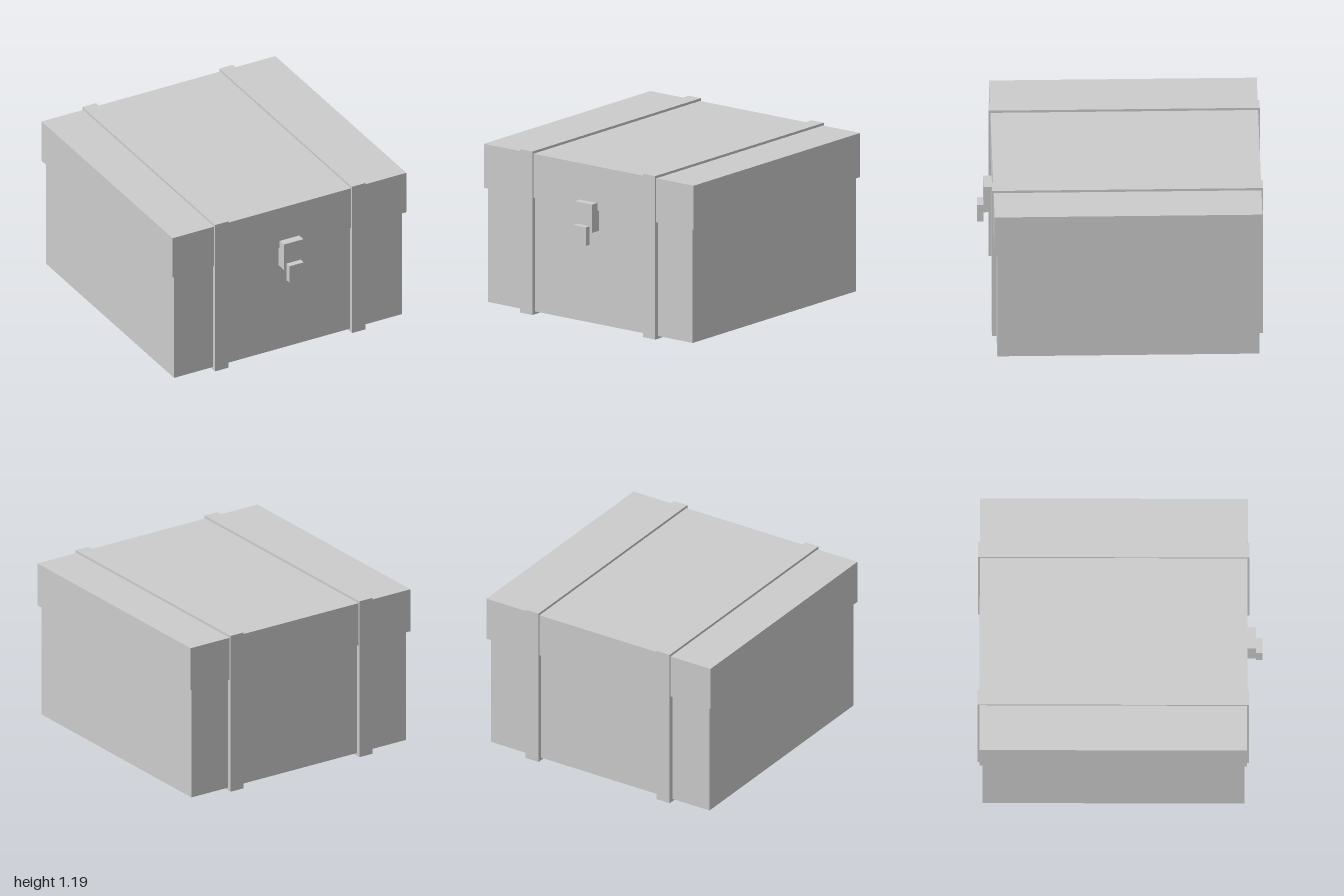
import * as THREE from 'three';

// Box given by its extents on each axis
function block(name, [x0, x1], [y0, y1], [z0, z1], material) {
  const mesh = new THREE.Mesh(new THREE.BoxGeometry(x1 - x0, y1 - y0, z1 - z0), material);
  mesh.name = name;
  mesh.position.set((x0 + x1) / 2, (y0 + y1) / 2, (z0 + z1) / 2);
  return mesh;
}

export function createModel() {
  const chest = new THREE.Group();
  chest.name = 'chest';

  const grey = new THREE.MeshStandardMaterial({ color: 0xcccccc });
  grey.name = 'light grey';

  // Body and overhanging lid
  chest.add(block('body', [-0.92, 0.92], [0.02, 0.85], [-0.967, 0.877], grey));
  chest.add(block('lid', [-0.942, 0.942], [0.85, 1.17], [-0.988, 0.896], grey));

  // Bands wrapped all the way round the chest
  for (const [name, side] of [['leftStrap', 1], ['rightStrap', -1]]) {
    const x = side * 0.552;
    chest.add(block(name, [x - 0.055, x + 0.055], [0, 1.188], [-1, 0.908], grey));
  }

  // Latch plate over the lid seam, with its hasp in front
  chest.add(block('latchPlate', [-0.079, 0.079], [0.7, 0.905], [0.877, 0.956], grey));
  chest.add(block('hasp', [-0.057, 0.057], [0.61, 0.745], [0.956, 1], grey));

  return chest;
}
